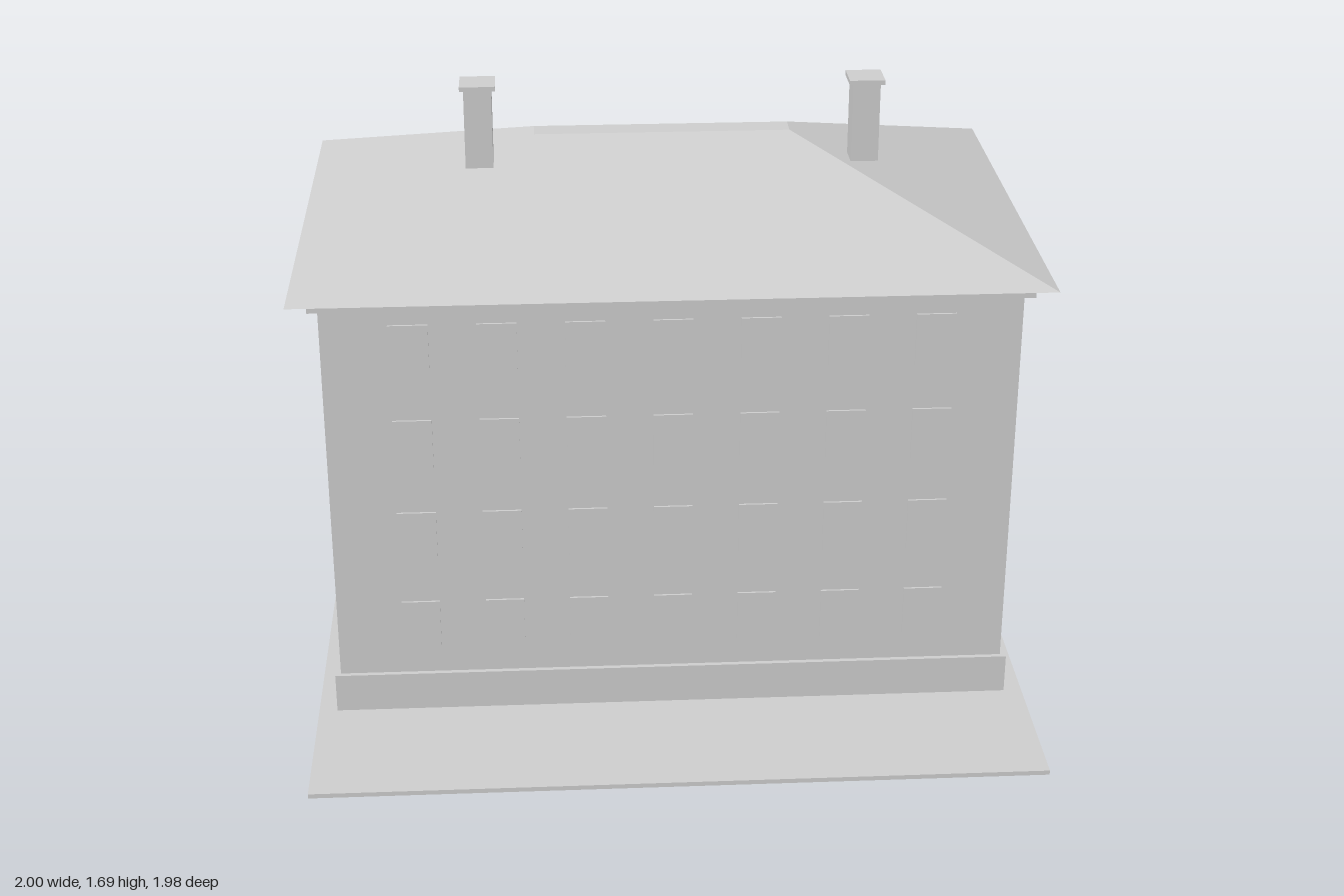
import * as THREE from 'three';

export function createModel() {
  const model = new THREE.Group();
  model.name = 'apartmentBlock';
  const plaster = new THREE.MeshStandardMaterial({ color: 0xcccccc });
  plaster.name = 'light grey';

  // Box given by its size and centre, with y measured from its underside
  function box(name, w, h, d, x, y, z, parent = model) {
    const mesh = new THREE.Mesh(new THREE.BoxGeometry(w, h, d), plaster);
    mesh.name = name;
    mesh.position.set(x, y + h / 2, z);
    parent.add(mesh);
    return mesh;
  }

  const W = 0.923, D = 0.578; // half width and half depth of the walls

  box('groundSlab', 1.976, 0.013, 1.976, 0, 0, 0);
  box('plinth', 1.876, 0.112, 1.182, 0, 0.013, 0);
  box('walls', W * 2, 1.102, D * 2, 0, 0.125, 0);
  box('cornice', 1.896, 0.033, 1.208, 0, 1.227, 0);

  // Hipped roof: a box whose upper corners are drawn in to a narrow flat ridge
  const roofGeo = new THREE.BoxGeometry(2, 0.245, 1.298);
  const p = roofGeo.attributes.position;
  for (let i = 0; i < p.count; i++) {
    if (p.getY(i) > 0) {
      p.setX(i, Math.sign(p.getX(i)) * 0.354);
      p.setZ(i, Math.sign(p.getZ(i)) * 0.035);
    }
  }
  roofGeo.computeVertexNormals();
  const roof = new THREE.Mesh(roofGeo, plaster);
  roof.name = 'roof';
  roof.position.y = 1.26 + 0.245 / 2;
  model.add(roof);

  // Chimneys with caps
  for (const x of [-0.503, 0.547]) {
    const chimney = new THREE.Group();
    chimney.name = 'chimney';
    box('chimneyStack', 0.075, 0.22, 0.075, x, 1.455, 0.125, chimney);
    box('chimneyCap', 0.096, 0.013, 0.096, x, 1.675, 0.125, chimney);
    model.add(chimney);
  }

  // Four floors of raised window panels
  const winW = 0.105, winH = 0.147;
  for (let floor = 0; floor < 4; floor++) {
    const y = 0.203 + floor * 0.276;
    for (const side of [1, -1]) {
      // Long walls; the door takes the middle bay at the back
      for (let col = -3; col <= 3; col++) {
        if (side < 0 && floor === 0 && col === 0) continue;
        box(side > 0 ? 'frontWindow' : 'backWindow', winW, winH, 0.006, col * 0.231, y, side * (D + 0.003));
      }
      // End walls
      for (let col = -1; col <= 1; col++) {
        box(side > 0 ? 'leftWindow' : 'rightWindow', 0.0095, winH, winW, side * (W + 0.00475), y, col * 0.32);
      }
    }
  }
  box('backDoor', 0.19, 0.248, 0.009, 0, 0.125, -(D + 0.0045));

  return model;
}
